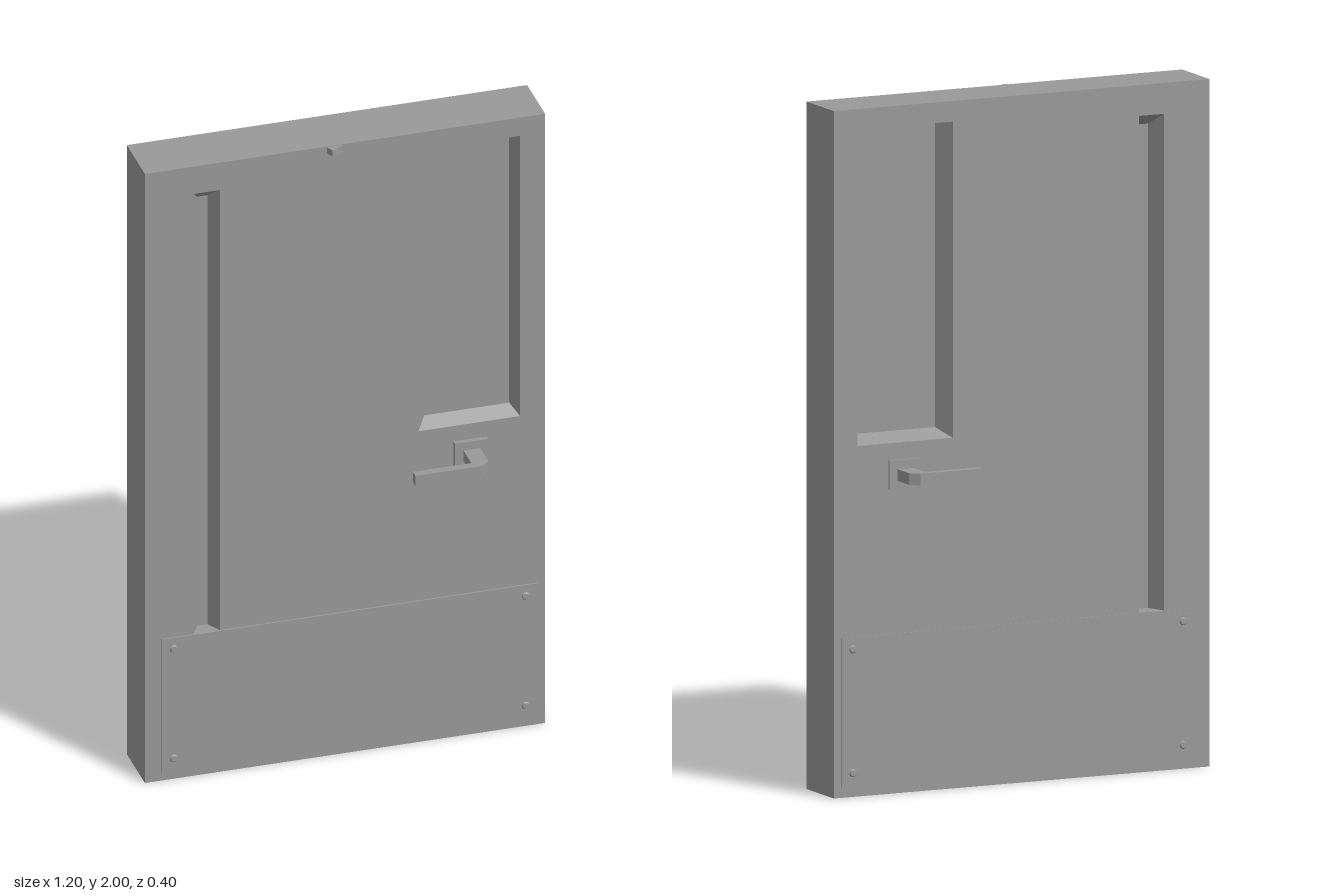
import * as THREE from 'three';

const FRONT = 0.082, BACK = -0.095;

export function createModel() {
  const root = new THREE.Group();
  root.name = 'door';
  const paint = new THREE.MeshStandardMaterial({ color: 0x999999 });
  paint.name = 'grey';

  const add = (name, geometry, parent = root) => {
    const mesh = new THREE.Mesh(geometry, paint);
    mesh.name = name;
    parent.add(mesh);
    return mesh;
  };
  const box = (name, x0, x1, y0, y1, z0, z1, parent) => {
    const m = add(name, new THREE.BoxGeometry(x1 - x0, y1 - y0, z1 - z0), parent);
    m.position.set((x0 + x1) / 2, (y0 + y1) / 2, (z0 + z1) / 2);
    return m;
  };
  const corners = ([x0, x1, y0, y1]) => [[x0, y0], [x1, y0], [x1, y1], [x0, y1]];
  const toPath = (rect, Type) => new Type(corners(rect).map(p => new THREE.Vector2(...p)));

  // Recessed windows: rectangles given as x0, x1, y0, y1
  const windows = [
    { name: 'wideWindow', outer: [0.22, 0.525, 1.02, 1.94], inner: [0.25, 0.505, 1.045, 1.939] },
    { name: 'narrowWindow', outer: [-0.455, -0.375, 0.465, 1.91], inner: [-0.43, -0.40, 0.466, 1.875] },
  ];

  // Door leaf with both openings cut through
  const leaf = toPath([-0.6, 0.6, 0, 2], THREE.Shape);
  leaf.holes = windows.map(w => toPath(w.outer, THREE.Path));
  const leafGeometry = new THREE.ExtrudeGeometry(leaf, { depth: FRONT - BACK, bevelEnabled: false });
  add('doorLeaf', leafGeometry.translate(0, 0, BACK));

  // Sloping reveal and pane that close an opening on one side
  const recess = (outer, inner, zFace, zPane, front) => {
    const o = corners(outer).map(p => [...p, zFace]);
    const n = corners(inner).map(p => [...p, zPane]);
    const pos = [];
    const quad = (a, b, c, d) => {
      const order = front ? [a, b, c, a, c, d] : [a, c, b, a, d, c];
      order.forEach(p => pos.push(...p));
    };
    for (let i = 0; i < 4; i++) {
      const j = (i + 1) % 4;
      quad(o[i], o[j], n[j], n[i]);
    }
    quad(...n);
    const g = new THREE.BufferGeometry();
    g.setAttribute('position', new THREE.Float32BufferAttribute(pos, 3));
    g.computeVertexNormals();
    return g;
  };
  for (const w of windows) {
    add(w.name + 'Front', recess(w.outer, w.inner, FRONT, 0.04, true));
    add(w.name + 'Back', recess(w.outer, w.inner, BACK, -0.04, false));
  }

  // Lever seen from above: neck, chamfered corner and grip
  const lever = side => {
    const start = side > 0 ? FRONT : -BACK;
    const s = new THREE.Shape([
      [0.35, start], [0.40, start], [0.40, 0.177], [0.375, 0.2],
      [0.175, 0.2], [0.175, 0.175], [0.35, 0.175],
    ].map(([x, z]) => new THREE.Vector2(x, -side * z)));
    return new THREE.ExtrudeGeometry(s, { depth: 0.034, bevelEnabled: false })
      .rotateX(-Math.PI / 2).translate(0, 0.91, 0);
  };

  // Handle, kick plate and plate screws on each side
  for (const side of [1, -1]) {
    const label = side > 0 ? 'front' : 'back';
    const face = side > 0 ? FRONT : BACK;
    const layer = (name, x0, x1, y0, y1, t) => {
      const z = face + side * t;
      return box(name, x0, x1, y0, y1, Math.min(face, z), Math.max(face, z));
    };
    layer(label + 'HandlePlate', 0.325, 0.425, 0.885, 0.97, side > 0 ? 0.016 : 0.007);
    add(label + 'HandleLever', lever(side));

    const t = side > 0 ? 0.005 : 0.003;
    layer(label + 'KickPlate', -0.55, 0.575, 0.03, 0.465, t);
    for (const x of [-0.515, 0.54]) {
      for (const y of [0.07, 0.43]) {
        const screw = add(label + 'Screw', new THREE.CylinderGeometry(0.009, 0.012, 0.004, 12));
        screw.rotation.x = side * Math.PI / 2;
        screw.position.set(x, y, face + side * (t + 0.002));
      }
    }
  }

  // Small wedge-shaped catch at the top edge
  const wedge = new THREE.Shape([[-0.055, -0.08], [-0.045, -0.105], [-0.01, -0.085], [-0.01, -0.08]]
    .map(p => new THREE.Vector2(...p)));
  add('topCatch', new THREE.ExtrudeGeometry(wedge, { depth: 0.02, bevelEnabled: false })
    .rotateX(-Math.PI / 2).translate(0, 1.978, 0));

  return root;
}
